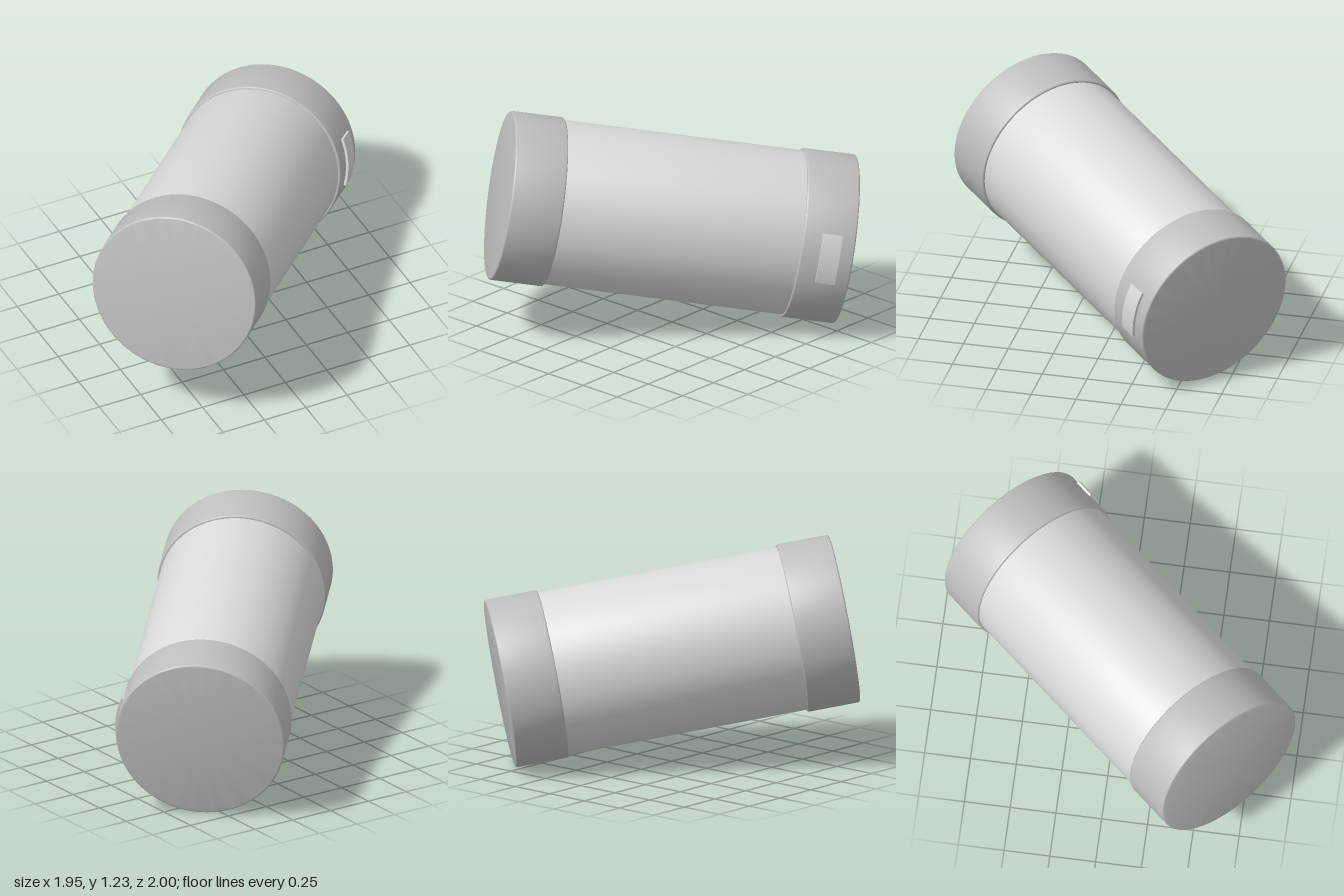
import * as THREE from 'three';
import { toCreasedNormals } from 'three/addons/utils/BufferGeometryUtils.js';

const HALF = 0.949, CAP_R = 0.461, BODY_R = 0.448, CAP_LEN = 0.29, BEVEL = 0.01;

// Solid of revolution between y0 and y1 with small rounded rims
function drum(r, y0, y1, bevel) {
  const pts = [new THREE.Vector2(0, y0)];
  for (const [y, start] of [[y0 + bevel, -Math.PI / 2], [y1 - bevel, 0]]) {
    for (let i = 0; i <= 4; i++) {
      const a = start + (i / 4) * Math.PI / 2;
      pts.push(new THREE.Vector2(r - bevel + bevel * Math.cos(a), y + bevel * Math.sin(a)));
    }
  }
  pts.push(new THREE.Vector2(0, y1));
  return toCreasedNormals(new THREE.LatheGeometry(pts, 96), 0.5);
}

export function createModel() {
  const bodyGrey = new THREE.MeshStandardMaterial({ name: 'light grey', color: 0xdadada });
  const capGrey = new THREE.MeshStandardMaterial({ name: 'mid grey', color: 0xbebebe });
  const model = new THREE.Group();
  model.name = 'canister';

  const add = (name, geometry, material) => {
    const mesh = new THREE.Mesh(geometry, material);
    mesh.name = name;
    model.add(mesh);
  };

  // Main barrel and the two slightly wider end caps
  add('barrel', drum(BODY_R, -HALF + 0.05, HALF - 0.05, 0.005), bodyGrey);
  add('frontCap', drum(CAP_R, -HALF, -HALF + CAP_LEN, BEVEL), capGrey);
  add('backCap', drum(CAP_R, HALF - CAP_LEN, HALF, BEVEL), capGrey);

  // Curved tab on the side of the back cap
  const from = -0.2, to = 0.4, width = 0.108;
  const arc = new THREE.Shape();
  arc.absarc(0, 0, 0.475, from, to, false);
  arc.absarc(0, 0, 0.45, to, from, true);
  arc.closePath();
  const tab = new THREE.ExtrudeGeometry(arc, { depth: width, bevelEnabled: false, curveSegments: 16 });
  tab.rotateX(Math.PI / 2).translate(0, 0.817 + width / 2, 0);
  add('sideTab', toCreasedNormals(tab, 0.5), bodyGrey);

  // Lay the canister along its tilted axis
  const axis = new THREE.Vector3(0.674, -0.169, -0.719).normalize();
  const side = new THREE.Vector3().crossVectors(axis, new THREE.Vector3(0, 1, 0)).normalize();
  if (side.x < 0) side.negate();
  const up = new THREE.Vector3().crossVectors(side, axis);
  model.quaternion.setFromRotationMatrix(new THREE.Matrix4().makeBasis(side, axis, up));
  model.position.y = 0.615;

  const root = new THREE.Group();
  root.add(model);
  return root;
}
